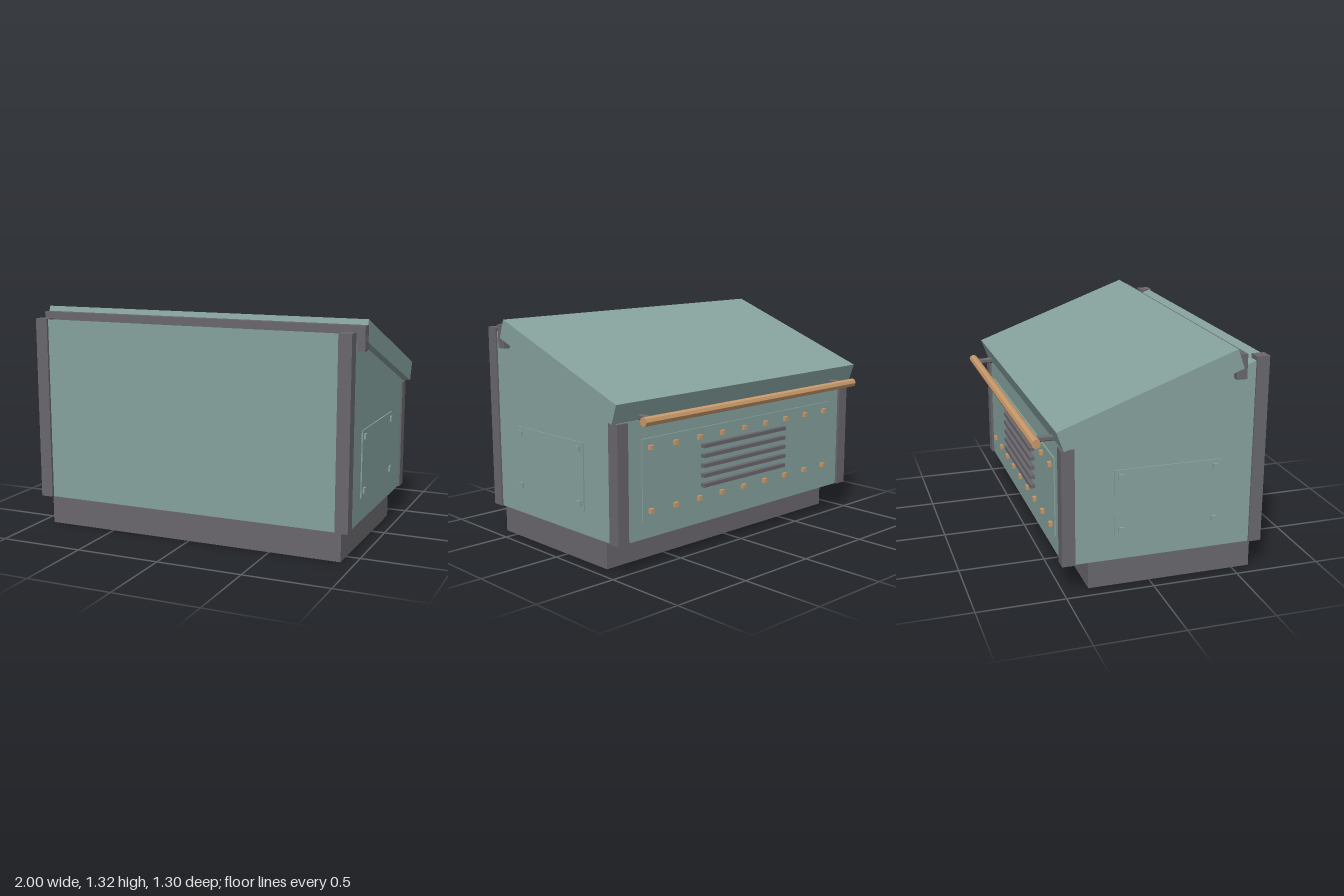
import * as THREE from 'three';

const material = (name, color) => {
  const m = new THREE.MeshStandardMaterial({ color });
  m.name = name;
  return m;
};

export function createModel() {
  const green = material('sage green', 0x86a29d);
  const grey = material('dark grey', 0x69676c);
  const tan = material('copper tan', 0xc8996a);
  const model = new THREE.Group();

  const add = (name, geometry, mat) => {
    const mesh = new THREE.Mesh(geometry, mat);
    mesh.name = name;
    model.add(mesh);
    return mesh;
  };
  // Box given by its limits on each axis
  const box = (name, mat, x0, x1, y0, y1, z0, z1) => {
    const mesh = add(name, new THREE.BoxGeometry(x1 - x0, y1 - y0, z1 - z0), mat);
    mesh.position.set((x0 + x1) / 2, (y0 + y1) / 2, (z0 + z1) / 2);
    return mesh;
  };
  // Prism with a side profile of [z, y] points, extruded across x
  const prism = (name, mat, points, halfWidth) => {
    const shape = new THREE.Shape(points.map(([z, y]) => new THREE.Vector2(-z, y)));
    const geometry = new THREE.ExtrudeGeometry(shape, { depth: 2 * halfWidth, bevelEnabled: false });
    geometry.translate(0, 0, -halfWidth).rotateY(Math.PI / 2);
    return add(name, geometry, mat);
  };

  // Plinth, sloped cabinet and tilted lid with its front lip
  box('plinth', grey, -0.92, 0.92, 0, 0.175, -0.355, 0.605);
  prism('cabinet', green, [[0.635, 0.175], [-0.5, 0.175], [-0.5, 0.841], [0.635, 1.254]], 0.96);
  prism('lid', green, [[0.49, 1.206], [-0.506, 0.844], [-0.545, 0.954], [0.45, 1.315]], 1);
  box('lidLip', grey, -1, 1, 1.147, 1.285, 0.447, 0.507);

  for (const s of [-1, 1]) {
    // Corner posts
    for (const [name, top, z] of [['frontPost', 1.257, 0.613], ['backPost', 0.84, -0.478]]) {
      const post = add(name, new THREE.BoxGeometry(0.075, top - 0.175, 0.074), grey);
      post.position.set(s * 0.933, (top + 0.175) / 2, z);
    }
    // Side access panel with four corner studs
    const panel = add('sidePanel', new THREE.BoxGeometry(0.01, 0.385, 0.615), green);
    panel.position.set(s * 0.962, 0.504, 0.088);
    for (const y of [0.35, 0.658]) {
      for (const z of [-0.184, 0.356]) {
        const stud = add('sidePanelStud', new THREE.BoxGeometry(0.02, 0.031, 0.031), green);
        stud.position.set(s * 0.968, y, z);
      }
    }
    // Handrail bracket
    const bracket = add('railBracket', new THREE.CylinderGeometry(0.018, 0.018, 0.13, 6).toNonIndexed(), grey);
    bracket.geometry.rotateX(Math.PI / 2).computeVertexNormals();
    bracket.position.set(s * 0.805, 0.86, -0.555);
  }

  // Back panel with two rows of rivets
  box('backPanel', green, -0.79, 0.79, 0.275, 0.735, -0.508, -0.499);
  for (const y of [0.33, 0.684]) {
    for (let i = -4; i <= 4; i++) {
      const x = i * 0.184;
      box('rivet', tan, x - 0.013, x + 0.013, y - 0.013, y + 0.013, -0.528, -0.505);
    }
  }
  // Vent slats
  for (let i = 0; i < 5; i++) {
    const y = 0.4 + i * 0.0575;
    box('ventSlat', grey, -0.35, 0.35, y - 0.011, y + 0.011, -0.536, -0.505);
  }

  // Octagonal handrail
  const rail = add('handrail', new THREE.CylinderGeometry(0.026, 0.026, 1.77, 8).toNonIndexed(), tan);
  rail.geometry.rotateZ(Math.PI / 2).computeVertexNormals();
  rail.position.set(0, 0.86, -0.623);

  return model;
}
